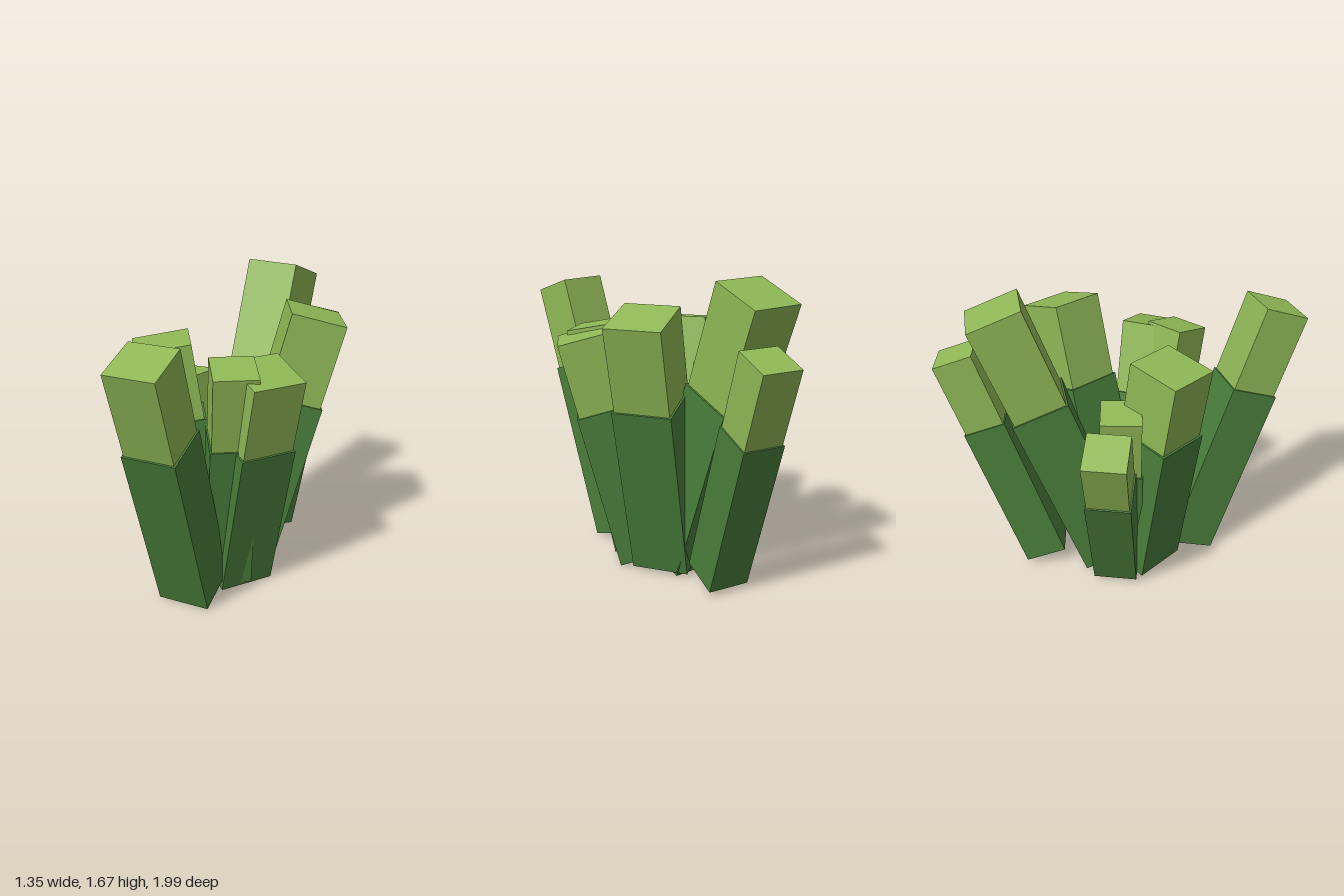
import * as THREE from 'three';

// Each blade: tip centre, outward direction (x, z), tilt in degrees,
// tip width and depth, tip length, whole length
const BLADES = [
  { tip: [-0.10, 1.345, -0.89], out: [-0.11, -0.99], tilt: 19, w: 0.22, d: 0.22, tipLen: 0.43, len: 1.35 },
  { tip: [-0.15, 1.62, -0.655], out: [-0.27, -0.963], tilt: 20.5, w: 0.30, d: 0.30, tipLen: 0.59, len: 1.67 },
  { tip: [0.345, 1.49, -0.385], out: [0.66, -0.75], tilt: 15, w: 0.30, d: 0.30, tipLen: 0.47, len: 1.48 },
  { tip: [0.49, 1.32, 0.14], out: [0.96, 0.27], tilt: 14, w: 0.29, d: 0.29, tipLen: 0.415, len: 1.315 },
  { tip: [0.395, 1.345, 0.27], out: [0.8, 0.6], tilt: 11.5, w: 0.23, d: 0.235, tipLen: 0.42, len: 1.32 },
  { tip: [0.37, 1.50, 0.82], out: [0.38, 0.92], tilt: 19, w: 0.27, d: 0.26, tipLen: 0.487, len: 1.535 },
  { tip: [-0.165, 1.355, 0.27], out: [-0.61, 0.79], tilt: 9, w: 0.30, d: 0.31, tipLen: 0.42, len: 1.305 },
  { tip: [-0.575, 1.075, -0.025], out: [-1, -0.03], tilt: 22.5, w: 0.23, d: 0.23, tipLen: 0.35, len: 1.1 },
  { tip: [-0.235, 1.11, 0.015], out: [-0.995, 0.09], tilt: 8, w: 0.22, d: 0.22, tipLen: 0.36, len: 1.06 },
];

export function createModel() {
  const model = new THREE.Group();
  model.name = 'grassClump';
  const stemGreen = new THREE.MeshStandardMaterial({ name: 'stemGreen', color: 0x4a7f3c });
  const tipGreen = new THREE.MeshStandardMaterial({ name: 'tipGreen', color: 0x8fb856 });

  // A box hanging down from height y in the blade's own frame
  const block = (name, w, h, d, y, material) => {
    const mesh = new THREE.Mesh(new THREE.BoxGeometry(w, h, d), material);
    mesh.name = name;
    mesh.position.y = y - h / 2;
    return mesh;
  };

  BLADES.forEach(({ tip, out, tilt, w, d, tipLen, len }, i) => {
    const blade = new THREE.Group();
    blade.name = `blade${i + 1}`;
    blade.position.set(...tip);
    // Turn to the outward direction, then lean that way
    blade.rotation.set(THREE.MathUtils.degToRad(tilt), Math.atan2(out[0], out[1]), 0, 'YXZ');
    blade.add(
      block('bladeTip', w, tipLen, d, 0, tipGreen),
      block('bladeStem', w * 1.07, len - tipLen, d * 1.07, -tipLen, stemGreen),
    );
    model.add(blade);
  });
  return model;
}
